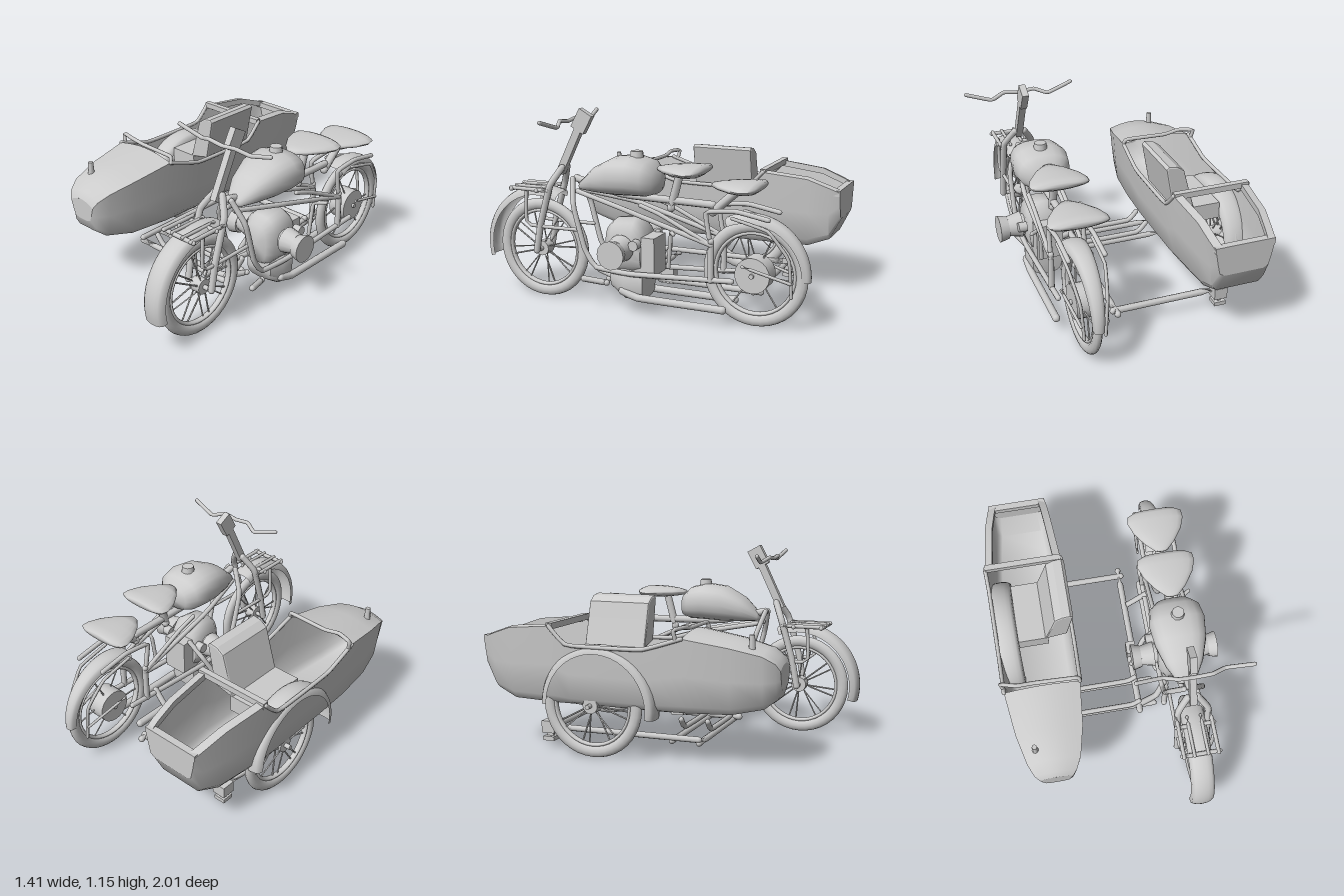
import * as THREE from 'three';
import { toCreasedNormals } from 'three/addons/utils/BufferGeometryUtils.js';

const grey = new THREE.MeshStandardMaterial({ color: 0xcccccc, side: THREE.DoubleSide });
grey.name = 'light grey';
const BX = 0.375; // centre line of the motorcycle

export function createModel() {
  const model = new THREE.Group();
  model.name = 'motorcycleWithSidecar';
  let parent = model;
  const group = (name) => {
    parent = new THREE.Group();
    parent.name = name;
    model.add(parent);
    return parent;
  };
  const add = (name, geo, x = 0, y = 0, z = 0) => {
    const m = new THREE.Mesh(geo, grey);
    m.name = name;
    m.position.set(x, y, z);
    parent.add(m);
    return m;
  };
  const box = (name, w, h, d, x, y, z) => add(name, new THREE.BoxGeometry(w, h, d), x, y, z);
  // Bent tube through points
  const tube = (name, pts, r, sides = 8) => {
    const c = new THREE.CatmullRomCurve3(pts.map((p) => new THREE.Vector3(...p)), false, 'catmullrom', 0.15);
    add(name, new THREE.TubeGeometry(c, (pts.length - 1) * 6, r, sides));
    for (const p of [pts[0], pts[pts.length - 1]]) add(name + 'End', new THREE.SphereGeometry(r, sides, 6), ...p);
  };
  // Cylinder lying along x
  const drum = (name, r1, r2, len, x, y, z, sides = 16) => {
    const m = add(name, new THREE.CylinderGeometry(r1, r2, len, sides), x, y, z);
    m.rotation.z = -Math.PI / 2;
    return m;
  };
  // Skin stretched over rows of points
  const skin = (name, rows, crease = 0.7) => {
    const n = rows[0].length, idx = [];
    for (let i = 0; i < rows.length - 1; i++)
      for (let j = 0; j < n - 1; j++) {
        const a = i * n + j, b = a + n;
        idx.push(a, b, a + 1, b, b + 1, a + 1);
      }
    const g = new THREE.BufferGeometry();
    g.setAttribute('position', new THREE.Float32BufferAttribute(rows.flat(2), 3));
    g.setIndex(idx);
    return add(name, toCreasedNormals(g, crease));
  };
  // Closed body of oval sections along z: [z, y, halfWidth, halfHeight]; a lower power is boxier
  const ovals = (name, x, secs, power = 1) => skin(name, secs.map(([z, y, w, h]) =>
    Array.from({ length: 21 }, (_, i) => {
      const a = (i / 20) * Math.PI * 2, c = Math.cos(a), s = Math.sin(a);
      return [x + w * Math.sign(c) * Math.abs(c) ** power, y + h * Math.sign(s) * Math.abs(s) ** power, z];
    })), 1.2);
  // Arched mudguard; angles in degrees from straight ahead, width runs from w to w2
  const guard = (name, x, y, z, r, w, w2, depth, from, to) => skin(name,
    Array.from({ length: 25 }, (_, i) => {
      const a = THREE.MathUtils.degToRad(from + (to - from) * i / 24);
      return Array.from({ length: 9 }, (_, j) => {
        const p = (0.5 - j / 8) * Math.PI, q = r - depth + depth * Math.sqrt(Math.cos(p) + 1e-9);
        return [x + (w + (w2 - w) * i / 24) / 2 * Math.sin(p), y + q * Math.sin(a), z + q * Math.cos(a)];
      });
    }), 1);

  const wheel = (name, x, z, hubR, hubW, spokes) => {
    const g = group(name);
    const ring = (part, r, t, s) => {
      const m = add(part, new THREE.TorusGeometry(r, t, 12, 40));
      m.rotation.y = Math.PI / 2;
      m.scale.z = s;
    };
    ring('tyre', 0.266, 0.034, 0.75);
    ring('rim', 0.228, 0.011, 1.6);
    drum('hub', hubR, hubR, hubW, 0, 0, 0, 20);
    drum('axle', 0.014, 0.014, 0.14, 0, 0, 0, 8);
    for (let i = 0; i < spokes; i++) {
      const a = i / spokes * Math.PI * 2, s = i % 2 ? 0.012 : -0.012;
      tube('spoke', [[s * 2, 0.03 * Math.sin(a), 0.03 * Math.cos(a)],
        [0, 0.23 * Math.sin(a + s * 8), 0.23 * Math.cos(a + s * 8)]], 0.005, 4);
    }
    g.position.set(x, 0.3, z);
  };
  wheel('frontWheel', BX, 0.63, 0.045, 0.07, 16);
  wheel('rearWheel', BX, -0.7, 0.1, 0.11, 6);
  wheel('sidecarWheel', -0.62, -0.3, 0.045, 0.07, 16);

  group('mudguards');
  guard('frontMudguard', BX, 0.31, 0.63, 0.37, 0.14, 0.14, 0.05, -14, 112);
  guard('rearMudguard', BX, 0.3, -0.68, 0.335, 0.14, 0.06, 0.045, 65, 182);
  guard('sidecarMudguard', -0.63, 0.3, -0.25, 0.345, 0.14, 0.14, 0.045, -8, 180);

  // Steering: column, fork and bars
  group('steering');
  tube('handlebar', [[0.05, 1.1, 0.44], [0.2, 1.055, 0.42], [0.28, 1.08, 0.45], [BX, 1.07, 0.45],
    [0.47, 1.08, 0.45], [0.55, 1.055, 0.42], [0.7, 1.1, 0.44]], 0.012);
  box('columnHead', 0.04, 0.12, 0.09, BX, 1.075, 0.355).rotation.x = -0.5;
  box('steeringColumn', 0.04, 0.3, 0.045, BX, 0.9, 0.44).rotation.x = -0.45;
  for (const s of [-1, 1]) {
    const x = BX + s * 0.088;
    tube('forkLeg', [[BX + s * 0.03, 0.8, 0.48], [x, 0.7, 0.53], [x, 0.46, 0.6], [x, 0.3, 0.63]], 0.02);
    tube('forkBrace', [[x, 0.66, 0.69], [x, 0.455, 0.69], [x, 0.455, 0.34]], 0.011);
    tube('rackSide', [[BX + s * 0.1, 0.67, 0.54], [BX + s * 0.1, 0.67, 0.79]], 0.012);
    tube('rackBar', [[BX + s * 0.04, 0.675, 0.56], [BX + s * 0.04, 0.675, 0.79]], 0.01);
  }
  for (const z of [0.61, 0.78]) tube('rackCross', [[0.265, 0.665, z], [0.485, 0.665, z]], 0.013);

  // Cradle frame and rear stays
  group('frame');
  for (const s of [-1, 1]) {
    const x = BX + s * 0.1;
    tube('downTube', [[BX + s * 0.03, 0.74, 0.41], [x, 0.6, 0.37], [x, 0.35, 0.3], [x, 0.25, 0.23], [x, 0.235, 0], [x, 0.27, -0.6]], 0.016);
    tube('topTube', [[BX + s * 0.03, 0.67, 0.38], [x, 0.61, 0.05], [x, 0.46, -0.48]], 0.015);
    tube('seatStay', [[x, 0.64, -0.06], [x, 0.6, -0.18], [x, 0.46, -0.48]], 0.013);
    tube('rearPost', [[x, 0.48, -0.48], [x, 0.26, -0.48]], 0.018);
    tube('rearStrut', [[x, 0.5, -0.47], [x, 0.64, -0.45], [x, 0.66, -0.62], [x, 0.63, -0.8]], 0.014);
    tube('mudguardStay', [[x, 0.62, -0.6], [x, 0.57, -0.8], [BX + s * 0.075, 0.42, -0.91], [BX + s * 0.06, 0.21, -0.925]], 0.01, 6);
    tube('axleStay', [[x, 0.36, -0.66], [BX + s * 0.075, 0.29, -0.92]], 0.009, 6);
    tube('silencer', [[x, 0.13, 0.06], [x, 0.1, -0.04], [x, 0.1, -0.55]], 0.023);
    tube('footPeg', [[BX + s * 0.06, 0.15, 0.18], [BX + s * 0.1, 0.17, 0.31]], 0.018);
  }
  tube('backbone', [[BX, 0.74, 0.4], [BX, 0.67, 0.1], [BX, 0.66, -0.45]], 0.022);
  tube('pillionPost', [[BX, 0.62, -0.45], [BX, 0.74, -0.58]], 0.025);
  tube('saddlePost', [[BX, 0.62, -0.2], [BX, 0.81, -0.25]], 0.025);
  tube('kickLever', [[BX + 0.08, 0.3, -0.22], [BX + 0.09, 0.5, -0.24], [BX + 0.15, 0.51, -0.28]], 0.012);

  // Flat twin engine
  group('engine');
  ovals('crankcase', BX, [[0.18, 0.37, 0, 0], [0.175, 0.37, 0.08, 0.12], [0.13, 0.38, 0.11, 0.155],
    [0, 0.39, 0.115, 0.16], [-0.05, 0.37, 0.1, 0.13], [-0.06, 0.37, 0, 0]], 0.7);
  box('gearbox', 0.16, 0.22, 0.14, BX, 0.34, -0.06);
  ovals('sump', BX, [[0.15, 0.2, 0, 0], [0.14, 0.2, 0.09, 0.07], [0.05, 0.17, 0.11, 0.1],
    [-0.06, 0.17, 0.09, 0.09], [-0.07, 0.17, 0, 0]], 0.6);
  for (const s of [-1, 1]) {
    drum('cylinderBarrel', 0.06, 0.06, 0.14, BX + s * 0.14, 0.39, 0.05);
    drum('coolingBlock', s > 0 ? 0.06 : 0.078, s > 0 ? 0.078 : 0.06, 0.08, BX + s * 0.17, 0.39, 0.05);
    drum('cylinderHead', s > 0 ? 0.082 : 0.068, s > 0 ? 0.068 : 0.082, 0.055, BX + s * 0.2375, 0.38, 0.05);
    drum('carburettor', 0.03, 0.03, 0.05, BX + s * 0.14, 0.42, -0.04, 10);
  }

  group('tankAndSaddles');
  ovals('fuelTank', BX, [[0.37, 0.7, 0, 0], [0.36, 0.705, 0.05, 0.025], [0.26, 0.75, 0.11, 0.075],
    [0.14, 0.78, 0.15, 0.108], [0.02, 0.79, 0.165, 0.112], [-0.07, 0.78, 0.15, 0.1], [-0.12, 0.765, 0.1, 0.07], [-0.135, 0.76, 0, 0]], 0.78);
  add('fuelCap', new THREE.CylinderGeometry(0.035, 0.04, 0.035, 10), BX, 0.91, 0.01);
  const saddle = (name, z, y) => ovals(name, BX, [[z + 0.14, y, 0, 0], [z + 0.135, y, 0.035, 0.014],
    [z + 0.08, y, 0.09, 0.024], [z, y, 0.145, 0.032], [z - 0.07, y, 0.17, 0.034], [z - 0.115, y + 0.004, 0.165, 0.03],
    [z - 0.137, y + 0.008, 0.12, 0.018], [z - 0.14, y + 0.008, 0, 0]]);
  saddle('riderSaddle', -0.265, 0.84);
  saddle('pillionSaddle', -0.59, 0.775);

  // Sidecar tub: [z, outer left x, outer right x, bottom y, top y]
  group('sidecar');
  const secs = [[0.757, -0.555, -0.36, 0.45, 0.55], [0.735, -0.58, -0.335, 0.39, 0.59], [0.67, -0.61, -0.3, 0.34, 0.63], [0.5, -0.65, -0.26, 0.305, 0.67],
    [0.25, -0.68, -0.235, 0.3, 0.71], [0.02, -0.685, -0.23, 0.3, 0.64], [-0.42, -0.69, -0.23, 0.3, 0.64],
    [-0.53, -0.69, -0.23, 0.3, 0.74], [-0.8, -0.66, -0.25, 0.3, 0.715], [-0.93, -0.635, -0.26, 0.35, 0.67], [-0.995, -0.62, -0.27, 0.48, 0.645]];
  const hull = secs.map(([z, a, b, y0, y1]) => {
    const h = y1 - y0;
    return [[a, y1, z], [a + 0.015, y0 + h * 0.5, z], [a + 0.03, y0 + h * 0.1, z], [a + 0.06, y0, z],
      [b - 0.06, y0, z], [b - 0.03, y0 + h * 0.1, z], [b - 0.015, y0 + h * 0.5, z], [b, y1, z]];
  });
  skin('tub', hull, 1);
  skin('noseDeck', secs.slice(0, 5).map(([z, a, b, , y]) =>
    Array.from({ length: 9 }, (_, i) => [b + (a - b) * i / 8, y + 0.03 * Math.sin(Math.PI * i / 8), z])), 1);
  // End panels fill each end of the hull up to its top edge
  const topEdge = (row, rise) => row.map((p, i) =>
    [row[0][0] + (row[7][0] - row[0][0]) * i / 7, row[0][1] + rise * Math.sin(Math.PI * i / 7), p[2]]);
  const tail = hull[hull.length - 1];
  skin('nosePanel', [topEdge(hull[0], 0.03), hull[0]]);
  skin('tailPanel', [tail, topEdge(tail, 0)]);
  // Broad rim around the rear opening
  const rear = secs.slice(7);
  for (const k of [1, 2]) {
    const d = k === 1 ? 0.045 : -0.045;
    skin('rearRim', rear.map((q) => [[q[k], q[4], q[0]], [q[k] + d, q[4] + 0.008, q[0]], [q[k] + d, q[4] - 0.03, q[0]]]));
    tube('cockpitRim', secs.slice(4, 8).map((q) => [q[k], q[4], q[0]]), 0.012);
  }
  box('rearRimEnd', 0.35, 0.035, 0.04, -0.445, 0.64, -0.975);
  box('rearRimFront', 0.46, 0.035, 0.035, -0.46, 0.74, -0.53);
  tube('grabRail', [[-0.68, 0.7, 0.22], [-0.69, 0.755, 0.21], [-0.6, 0.76, 0.235], [-0.5, 0.745, 0.23], [-0.25, 0.745, 0.24], [-0.235, 0.71, 0.25]], 0.012);
  add('noseOrnament', new THREE.CylinderGeometry(0.015, 0.02, 0.08, 8), -0.55, 0.695, 0.6);
  box('seatCushion', 0.18, 0.1, 0.37, -0.47, 0.55, -0.27);
  // Leaning padded backrest
  const rest = new THREE.Shape([[-0.39, 0.6], [-0.27, 0.63], [-0.225, 0.865], [-0.235, 0.875], [-0.28, 0.868], [-0.32, 0.84], [-0.345, 0.75]].map((p) => new THREE.Vector2(...p)));
  add('backrest', new THREE.ExtrudeGeometry(rest, { depth: 0.35, bevelSize: 0.008, bevelThickness: 0.012, bevelSegments: 2 }), 0, 0, -0.445);

  // Sidecar chassis
  group('chassis');
  tube('rearCross', [[-0.5, 0.12, -0.62], [0.16, 0.12, -0.62]], 0.02);
  tube('innerRail', [[0.145, 0.12, -0.66], [0.145, 0.12, -0.03]], 0.02);
  tube('frontRail', [[0.12, 0.12, -0.1], [0.12, 0.12, 0.32]], 0.02);
  tube('outerRail', [[-0.5, 0.12, -0.64], [-0.48, 0.12, 0.28]], 0.018);
  for (const z of [0.12, 0.28]) {
    tube('frontCross', [[-0.48, 0.1, z], [0.22, 0.1, z]], 0.018);
    tube('bodySupport', [[-0.34, 0.19, z], [-0.28, 0.135, z], [0.07, 0.135, z], [0.12, 0.19, z]], 0.016);
  }
  tube('wheelAxle', [[-0.62, 0.3, -0.3], [-0.5, 0.31, -0.3]], 0.02);
  box('railBlock', 0.08, 0.07, 0.08, -0.49, 0.12, -0.64);
  box('railFoot', 0.07, 0.025, 0.07, -0.49, 0.05, -0.64);
  box('railFootStem', 0.02, 0.06, 0.04, -0.49, 0.08, -0.64);
  tube('upperLink', [[0.12, 0.17, 0.02], [0.2, 0.36, -0.06], [0.29, 0.45, -0.08]], 0.016);
  tube('lowerLink', [[0.12, 0.12, 0.28], [0.24, 0.12, 0.24], [0.29, 0.24, 0.2]], 0.02);
  tube('rearLink', [[0.145, 0.12, -0.4], [0.28, 0.27, -0.4]], 0.018);
  box('linkBracket', 0.06, 0.1, 0.08, 0.13, 0.15, -0.08);
  return model;
}
